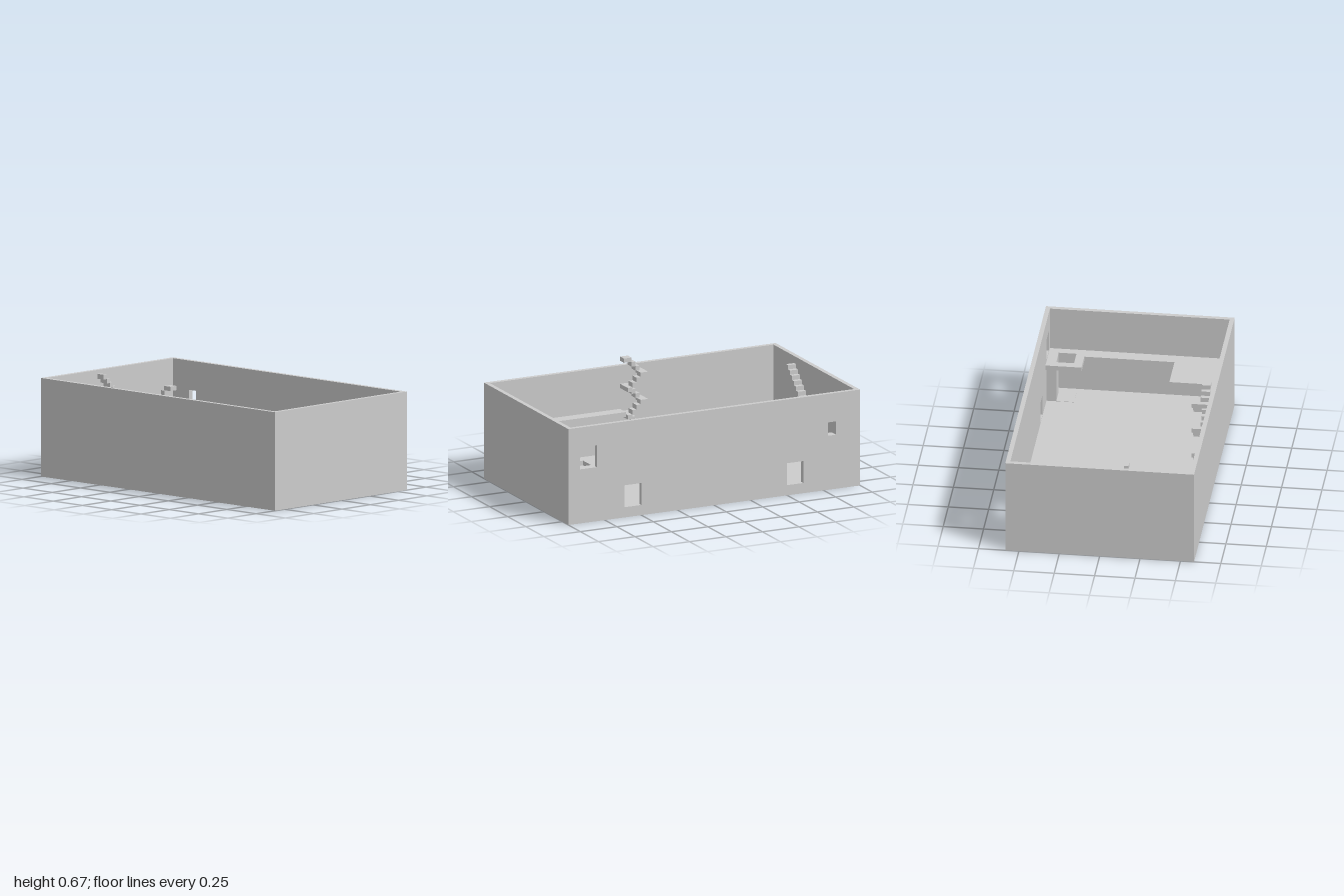
import * as THREE from 'three';

const W = 0.584, L = 1, H = 0.612, T = 0.028, FLOOR = 0.06;
const IX = W - T, IZ = L - T;          // inner wall faces
const RISE = 0.029, DECK = 0.335;

export function createModel() {
  const model = new THREE.Group();
  const mat = new THREE.MeshStandardMaterial({ color: 0xcccccc });

  const add = (name, geo, parent = model) => {
    const m = new THREE.Mesh(geo, mat);
    m.name = name;
    parent.add(m);
    return m;
  };
  // box given by its limits on each axis
  const box = (name, x0, x1, y0, y1, z0, z1, parent) =>
    add(name, new THREE.BoxGeometry(x1 - x0, y1 - y0, z1 - z0), parent)
      .position.set((x0 + x1) / 2, (y0 + y1) / 2, (z0 + z1) / 2);
  const outline = (pts, Kind = THREE.Shape) => new Kind(pts.map(p => new THREE.Vector2(...p)));
  const rect = (a, b, c, d) => outline([[a, c], [b, c], [b, d], [a, d]], THREE.Path);
  const group = name => {
    const g = new THREE.Group();
    g.name = name;
    model.add(g);
    return g;
  };

  // Floor and plain walls
  box('floor', -IX, IX, 0, FLOOR, -IZ, IZ);
  box('frontWall', -IX, IX, 0, H, IZ, L);
  box('backWall', -IX, IX, 0, H, -L, -IZ);
  box('rightWall', -W, -IX, 0, H, -L, L);

  // Left wall with two doorways and two upper openings, drawn in (z, y)
  const wall = outline([[-L, 0], [L, 0], [L, H], [-L, H]]);
  wall.holes.push(
    rect(0.805, 0.92, 0.345, 0.485),
    rect(0.5, 0.615, 0.065, 0.205),
    rect(-0.61, -0.497, 0.065, 0.205),
    rect(-0.835, -0.778, 0.345, 0.43));
  const wallGeo = new THREE.ExtrudeGeometry(wall, { depth: T, bevelEnabled: false });
  add('leftWall', wallGeo.rotateY(-Math.PI / 2).translate(W, 0, 0));
  box('windowLedge', 0.525, IX, 0.315, 0.345, -0.835, -0.78);

  // Raised walkway with a hatch, drawn in (x, z)
  const deck = outline([
    [-IX, 0.08], [-0.475, 0.08], [-0.475, 0.637], [-0.225, 0.637], [-0.225, 0.89],
    [0.333, 0.89], [0.333, 0.75], [IX, 0.75], [IX, IZ], [-IX, IZ]]);
  deck.holes.push(rect(0.385, 0.495, 0.8, 0.92));
  const deckGeo = new THREE.ExtrudeGeometry(deck, { depth: 0.03, bevelEnabled: false });
  add('walkway', deckGeo.rotateX(Math.PI / 2).translate(0, DECK, 0));
  box('hatchPillar', 0.495, IX, FLOOR, DECK - 0.03, 0.8, 0.92);
  box('hatchFloorPad', 0.385, 0.495, FLOOR, FLOOR + 0.002, 0.8, 0.92);

  // Two-flight stair on the back wall: up towards +x, then back towards -x
  const back = group('backStair');
  const run = 0.0275, mid = -0.92, out = -0.865, rise = 0.027;
  for (let i = 0; i < 10; i++) {
    const x = -0.142 + i * run, y = FLOOR + (i + 1) * rise;
    box('lowerStep', x, x + run, y - 0.03, y, -IZ, mid, back);
    const ux = 0.107 - i * run, uy = 0.33 + (i + 1) * rise;
    box('upperStep', ux - run, ux, uy - 0.03, uy, mid, out, back);
  }
  box('landing', 0.137, 0.191, 0.305, 0.335, -IZ, out, back);

  // Square winding stair on the right wall: seven flights of two steps and a landing
  const winding = group('windingStair');
  const xm = -0.503, xr = -0.45;
  for (let k = 0; k < 7; k++) {
    const base = FLOOR + k * 3 * RISE, odd = k % 2 === 1;
    const [x0, x1] = odd ? [xm, xr] : [-IX, xm];
    for (let s = 0; s < 2; s++) {
      const z = odd ? 0.02 - s * 0.028 : -0.027 + s * 0.027;
      const y = base + (s + 1) * RISE;
      box('windingStep', x0, x1, y - RISE, y, z, z + 0.028, winding);
    }
    const y = base + 3 * RISE, y0 = y - 0.027;
    if (odd) {
      box('backLandingWallHalf', -IX, xm, y0, y, -0.06, -0.027, winding);
      box('backLandingOuterHalf', xm, xr, y0, y, -0.06, -0.008, winding);
    } else {
      box('frontLandingWallHalf', -IX, xm, y0, y, 0.027, 0.08, winding);
      if (k < 6) box('frontLandingOuterHalf', xm, xr, y0, y, 0.047, 0.08, winding);
    }
  }
  return model;
}
